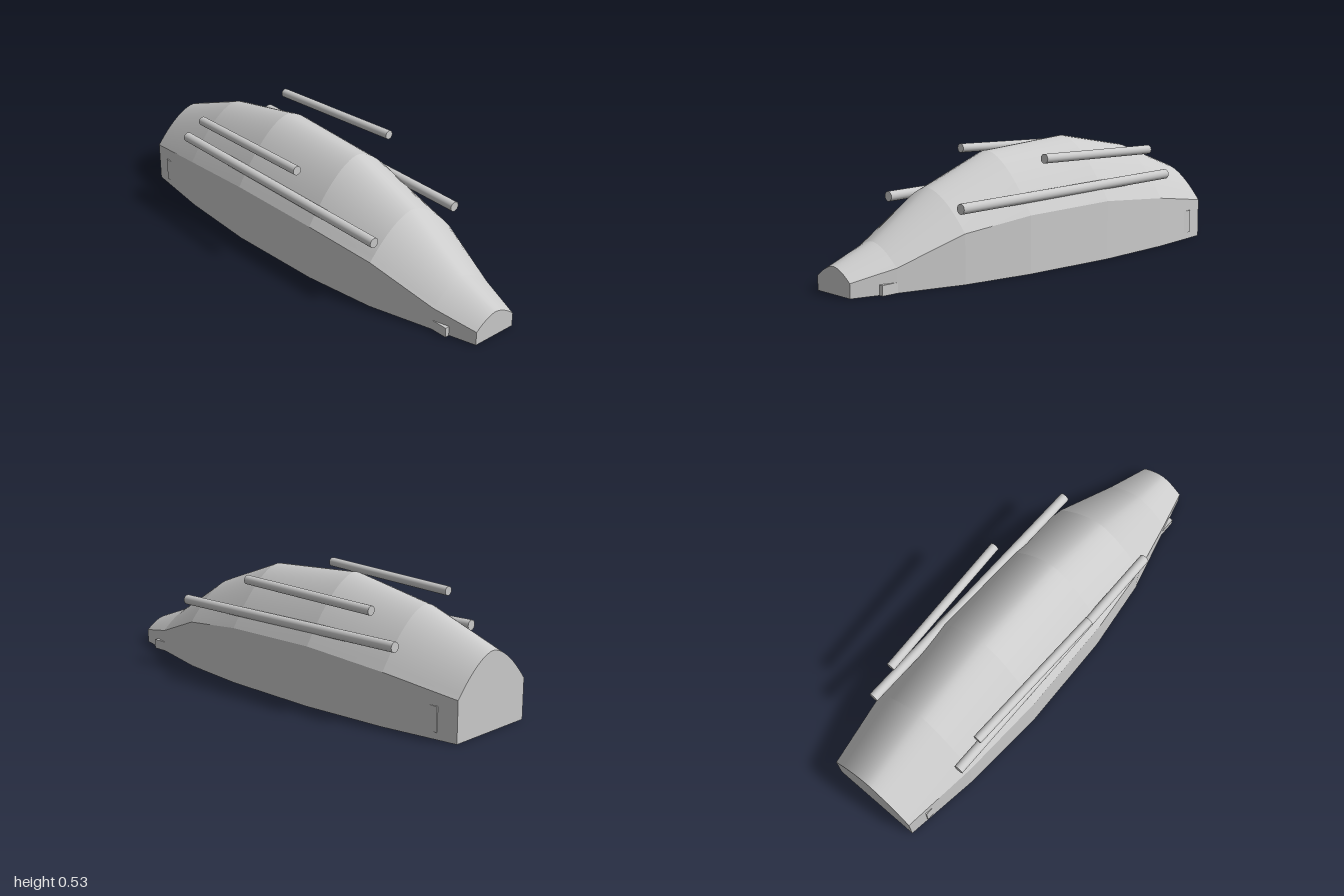
import * as THREE from 'three';

const material = new THREE.MeshStandardMaterial({ color: 0xcccccc });

// Hull stations from front to back: z, half width, edge height, crown height
const stations = [
  [1, 0.105, 0.06, 0.112],
  [0.81, 0.155, 0.1, 0.185],
  [0.52, 0.23, 0.208, 0.37],
  [0.19, 0.27, 0.248, 0.497],
  [-0.27, 0.282, 0.258, 0.527],
  [-0.66, 0.257, 0.225, 0.455],
  [-1, 0.21, 0.175, 0.33],
];
const SEGMENTS = 24;

// Roof curve of one station, from the left edge over the crown to the right edge
function arch([z, w, edge, top]) {
  const points = [];
  for (let i = 0; i <= SEGMENTS; i++) {
    const t = 1 - (2 * i) / SEGMENTS;
    points.push([w * t, edge + (top - edge) * (1 - Math.abs(t) ** 1.7), z]);
  }
  return points;
}

// Smooth strip between two equally long rows of points
function strip(a, b) {
  const n = a.length;
  const index = [];
  for (let i = 0; i < n - 1; i++) {
    index.push(i, i + 1, n + i, i + 1, n + i + 1, n + i);
  }
  const geometry = new THREE.BufferGeometry();
  geometry.setAttribute('position', new THREE.Float32BufferAttribute([...a, ...b].flat(), 3));
  geometry.setIndex(index);
  geometry.computeVertexNormals();
  return geometry;
}

function add(parent, name, geometry) {
  const mesh = new THREE.Mesh(geometry, material);
  mesh.name = name;
  parent.add(mesh);
  return mesh;
}

function buildHull() {
  const hull = new THREE.Group();
  hull.name = 'hull';
  for (let k = 0; k < stations.length - 1; k++) {
    const [a, b] = [stations[k], stations[k + 1]];
    const [za, wa, ea] = a;
    const [zb, wb, eb] = b;
    add(hull, 'roofPanel', strip(arch(b), arch(a)));
    add(hull, 'leftWall', strip([[wb, 0, zb], [wb, eb, zb]], [[wa, 0, za], [wa, ea, za]]));
    add(hull, 'rightWall', strip([[-wb, eb, zb], [-wb, 0, zb]], [[-wa, ea, za], [-wa, 0, za]]));
    add(hull, 'floorPanel', strip([[-wb, 0, zb], [wb, 0, zb]], [[-wa, 0, za], [wa, 0, za]]));
  }
  // Flat caps under the first and last roof curves
  const flatten = (row) => row.map(([x, , z]) => [x, 0, z]);
  const front = arch(stations[0]);
  const back = arch(stations[stations.length - 1]);
  add(hull, 'frontCap', strip(front, flatten(front)));
  add(hull, 'backCap', strip(flatten(back), back));
  return hull;
}

// Round bar between two points
function addRod(parent, name, from, to, radius) {
  const a = new THREE.Vector3(...from);
  const b = new THREE.Vector3(...to);
  const rod = add(parent, name, new THREE.CylinderGeometry(radius, radius, a.distanceTo(b), 20));
  rod.position.copy(a).add(b).multiplyScalar(0.5);
  rod.quaternion.setFromUnitVectors(new THREE.Vector3(0, 1, 0), b.sub(a).normalize());
}

function addBox(parent, name, size, position) {
  add(parent, name, new THREE.BoxGeometry(...size)).position.set(...position);
}

export function createModel() {
  const model = new THREE.Group();
  model.name = 'model';
  model.add(buildHull());

  for (const [side, s] of [['left', 1], ['right', -1]]) {
    // Floating bars along the roof
    addRod(model, side + 'UpperRod', [s * 0.262, 0.476, 0.106], [s * 0.24, 0.456, -0.583], 0.02);
    addRod(model, side + 'LowerRod', [s * 0.23, 0.31, 0.543], [s * 0.24, 0.332, -0.708], 0.022);
    // Small blocks let into the walls
    addBox(model, side + 'FrontBlock', [0.019, 0.043, 0.08], [s * 0.1465, 0.0215, 0.843]);
    addBox(model, side + 'RearPlate', [0.02, 0.105, 0.05], [s * 0.218, 0.083, -0.888]);
  }
  return model;
}
